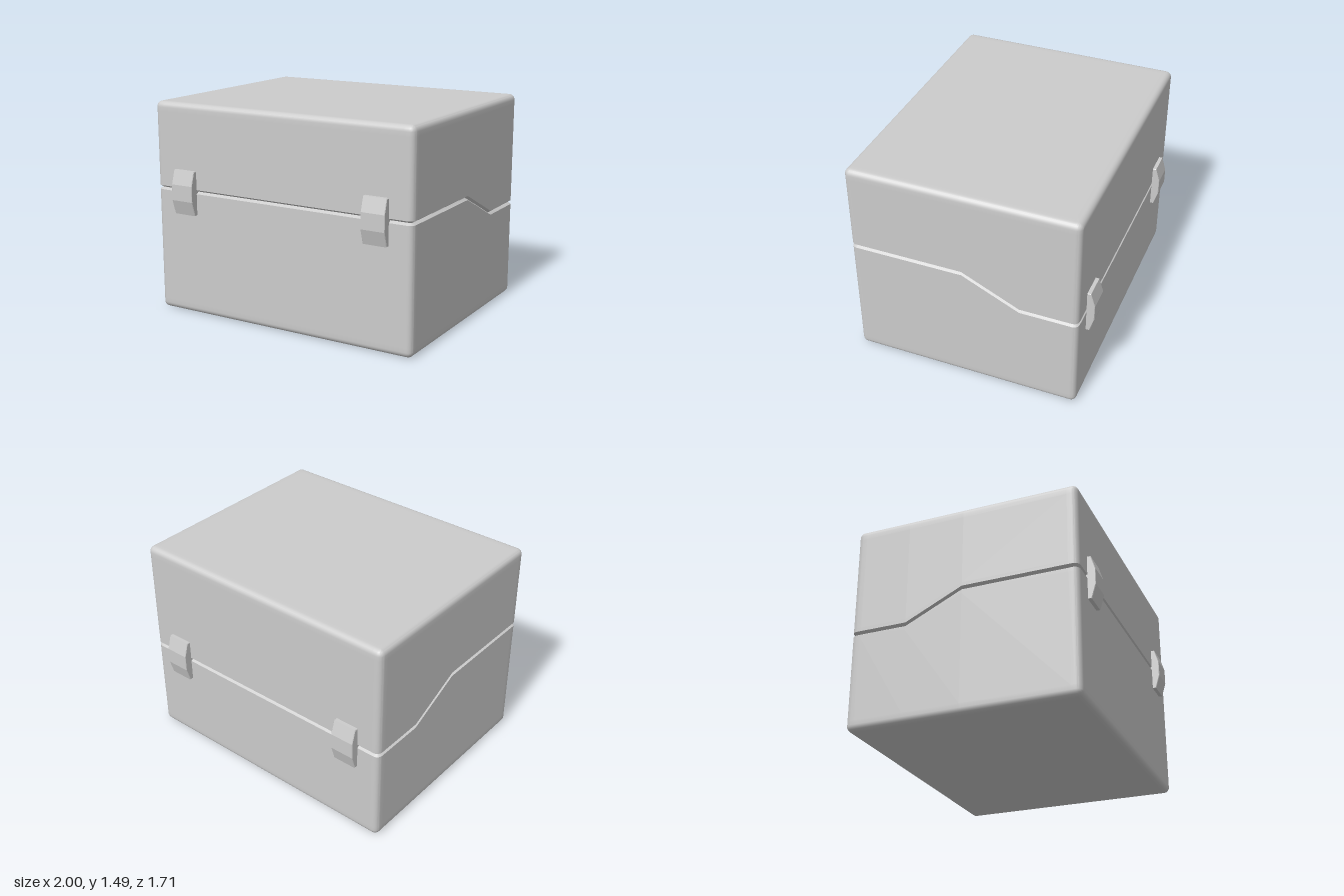
import * as THREE from 'three';
import { toCreasedNormals } from 'three/addons/utils/BufferGeometryUtils.js';

const HX = 1, HZ = 0.8, HEIGHT = 1.485; // half width, half depth, height
const R = 0.04, STEPS = 6, SUPPORT = 0.03; // edge rounding
const SEAM_FRONT = 0.88, SEAM_BACK = 0.69, BEND_FRONT = 0, BEND_BACK = -0.4;

const material = new THREE.MeshStandardMaterial({ color: 0xcccccc });

// Height of the parting line: level, sloping down, level again
function seam(z) {
  const t = THREE.MathUtils.clamp((z - BEND_BACK) / (BEND_FRONT - BEND_BACK), 0, 1);
  return THREE.MathUtils.lerp(SEAM_BACK, SEAM_FRONT, t);
}

// Rounded rectangle in plan, moved inwards by d, with points at the seam bends
function outline(d) {
  const r = Math.max(0, R - d), cx = HX - d - r, cz = HZ - d - r;
  const signs = [[1, 1], [-1, 1], [-1, -1], [1, -1]];
  const pts = [];
  signs.forEach(([sx, sz], k) => {
    const at = (a, along) => pts.push([
      sx * cx + Math.cos(a) * r - Math.sin(a) * along,
      sz * cz + Math.sin(a) * r + Math.cos(a) * along,
    ]);
    const a0 = k * Math.PI / 2, a1 = a0 + Math.PI / 2;
    at(a0, -SUPPORT);
    for (let i = 0; i <= STEPS; i++) at(a0 + (a1 - a0) * i / STEPS, 0);
    at(a1, SUPPORT);
    if (k === 1) pts.push([-(HX - d), BEND_FRONT], [-(HX - d), BEND_BACK]);
    if (k === 3) pts.push([HX - d, BEND_BACK], [HX - d, BEND_FRONT]);
  });
  return pts;
}

// One half of the case, from its flat face to the chamfered seam
function shell(isLid) {
  const flip = (y) => (isLid ? HEIGHT - y : y);
  const toSeam = (e) => (z) => seam(z) + (isLid ? e : -e);
  const rings = [[R + SUPPORT, () => flip(0)]];
  for (let i = 0; i <= STEPS; i++) {
    const a = i / STEPS * Math.PI / 2;
    rings.push([R * (1 - Math.sin(a)), () => flip(R * (1 - Math.cos(a)))]);
  }
  rings.push([0, () => flip(R + SUPPORT)], [0, toSeam(0.04)], [0, toSeam(0.014)], [0.022, toSeam(0)]);

  const loops = rings.map(([d, y]) => outline(d).map(([x, z]) => [x, y(z), z]));
  const pos = [];
  const tri = (a, b, c) => pos.push(...a, ...(isLid ? c : b), ...(isLid ? b : c));
  const n = loops[0].length, centre = [0, flip(0), 0];
  for (let i = 0; i < n; i++) {
    const k = (i + 1) % n;
    tri(centre, loops[0][i], loops[0][k]);
    for (let j = 0; j < loops.length - 1; j++) {
      const lo = loops[j], hi = loops[j + 1];
      tri(lo[i], hi[i], hi[k]);
      tri(lo[i], hi[k], lo[k]);
    }
  }
  const geo = new THREE.BufferGeometry();
  geo.setAttribute('position', new THREE.Float32BufferAttribute(pos, 3));
  return toCreasedNormals(geo, 0.5);
}

// Latch side profile: x is distance out from the wall, y is height about the seam
function latchGeometry() {
  const bevel = 0.004, width = 0.172;
  const shape = new THREE.Shape([
    [-0.03, -0.161], [0.022, -0.161], [0.051, -0.064],
    [0.051, 0.046], [0.022, 0.141], [-0.03, 0.141],
  ].map(([x, y]) => new THREE.Vector2(x, y)));
  const geo = new THREE.ExtrudeGeometry(shape, {
    depth: width - 2 * bevel, bevelEnabled: true,
    bevelSize: bevel, bevelThickness: bevel, bevelSegments: 1,
  });
  geo.translate(0, 0, bevel - width / 2);
  return geo.rotateY(-Math.PI / 2); // outwards becomes +z
}

export function createModel() {
  const model = new THREE.Group();
  model.name = 'case';
  const add = (name, geo) => {
    const mesh = new THREE.Mesh(geo, material);
    mesh.name = name;
    model.add(mesh);
    return mesh;
  };

  add('base', shell(false));
  add('lid', shell(true));

  // Two latches in front, two behind
  const latch = latchGeometry();
  for (const front of [true, false]) {
    for (const side of [1, -1]) {
      const name = (front ? 'front' : 'back') + (side > 0 ? 'Left' : 'Right') + 'Latch';
      const mesh = add(name, latch);
      mesh.position.set(side * 0.747, front ? SEAM_FRONT : SEAM_BACK, front ? HZ : -HZ);
      if (!front) mesh.rotation.y = Math.PI;
    }
  }
  return model;
}
